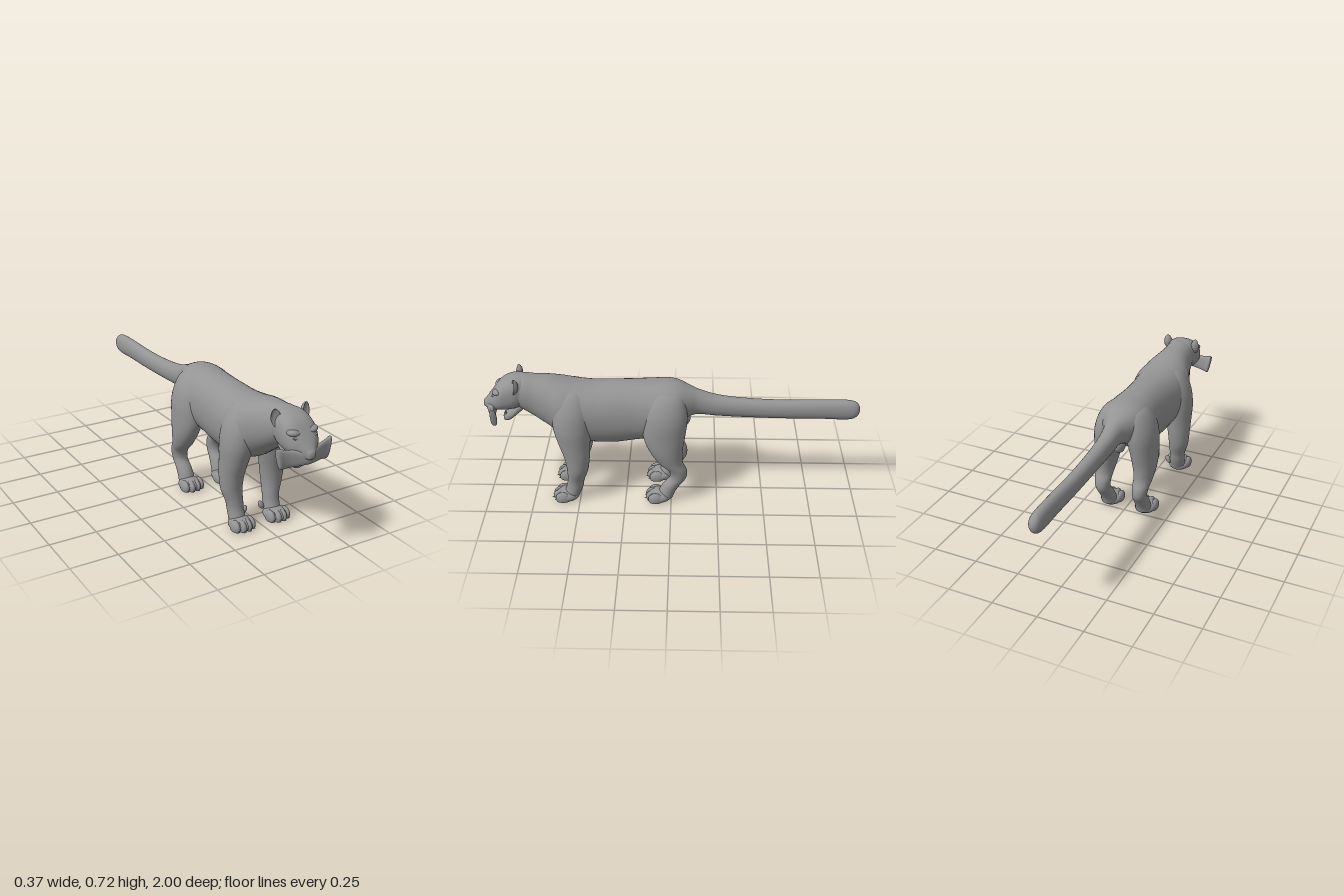
import * as THREE from 'three';

const coat = new THREE.MeshStandardMaterial({ color: 0x949494 });
coat.name = 'plain grey';

function add(parent, name, geometry) {
  const mesh = new THREE.Mesh(geometry, coat);
  mesh.name = name;
  parent.add(mesh);
  return mesh;
}

// Smooth skin over cross-sections along an axis (0 x, 1 y, 2 z), in rising order.
// Row: [position, centreU, centreV, halfU, halfV], U and V being the next axes in turn.
function loft(rows, axis, power = 2, around = 36, steps = 5) {
  const u = (axis + 1) % 3, v = (axis + 2) % 3, pos = [], index = [];
  const at = (i) => rows[Math.max(0, Math.min(rows.length - 1, i))];
  const cubic = (a, b, c, d, t) =>
    b + 0.5 * t * (c - a + t * (2 * a - 5 * b + 4 * c - d + t * (3 * (b - c) + d - a)));
  const round = (n) => Math.sign(n) * Math.abs(n) ** (2 / power);
  const count = (rows.length - 1) * steps;
  for (let i = 0; i <= count; i++) {
    const k = Math.floor(i / steps), t = i / steps - k;
    const r = at(k).map((_, c) => cubic(at(k - 1)[c], at(k)[c], at(k + 1)[c], at(k + 2)[c], t));
    for (let j = 0; j < around; j++) {
      const a = (j / around) * Math.PI * 2, p = [0, 0, 0];
      p[axis] = r[0];
      p[u] = r[1] + Math.max(r[3], 0.0005) * round(Math.cos(a));
      p[v] = r[2] + Math.max(r[4], 0.0005) * round(Math.sin(a));
      pos.push(...p);
      if (i < count) {
        const n = (j + 1) % around, b = i * around, d = b + around;
        index.push(b + j, b + n, d + n, b + j, d + n, d + j);
      }
    }
  }
  const g = new THREE.BufferGeometry();
  g.setAttribute('position', new THREE.Float32BufferAttribute(pos, 3));
  g.setIndex(index);
  g.computeVertexNormals();
  return g;
}

// Moves every vertex by a rule
function reshape(g, rule) {
  const p = g.attributes.position, q = new THREE.Vector3();
  for (let i = 0; i < p.count; i++) {
    q.fromBufferAttribute(p, i);
    rule(q);
    p.setXYZ(i, q.x, q.y, q.z);
  }
  g.computeVertexNormals();
  return g;
}

function ellipsoid(x, y, z, rx, ry, rz) {
  return new THREE.SphereGeometry(1, 24, 16).scale(rx, ry, rz).translate(x, y, z);
}

function buildPaw(parent, x, z) {
  const flat = (q) => { q.y = Math.max(q.y, 0.002); };
  add(parent, 'pawPad', reshape(ellipsoid(x, 0.026, z, 0.062, 0.037, 0.068), flat));
  [-0.045, -0.016, 0.016, 0.045].forEach((dx, i) => {
    const reach = i === 0 || i === 3 ? 0.02 : 0.034;
    add(parent, 'toe', reshape(ellipsoid(x + dx, 0.024, z + reach, 0.02, 0.036, 0.04), flat));
    const claw = new THREE.ConeGeometry(0.008, 0.03, 10).rotateX(Math.PI / 2 + 0.35);
    add(parent, 'claw', claw.translate(x + dx, 0.016, z + reach + 0.034));
  });
}

// Leg rows: [height, z, x, half depth, half width]
const frontLeg = [
  [0.02, 0.55, 0.105, 0.045, 0.045], [0.08, 0.527, 0.107, 0.045, 0.043],
  [0.13, 0.518, 0.11, 0.046, 0.045], [0.2, 0.505, 0.12, 0.057, 0.056],
  [0.28, 0.505, 0.119, 0.069, 0.063], [0.36, 0.515, 0.113, 0.084, 0.071],
  [0.45, 0.523, 0.103, 0.1, 0.082], [0.54, 0.525, 0.087, 0.103, 0.083],
  [0.61, 0.525, 0.07, 0.088, 0.068], [0.65, 0.525, 0.055, 0.055, 0.045], [0.67, 0.525, 0.045, 0, 0],
];
const hindLeg = [
  [0.02, 0.035, 0.105, 0.045, 0.045], [0.06, 0.02, 0.105, 0.045, 0.043],
  [0.1, -0.002, 0.107, 0.047, 0.041], [0.15, -0.037, 0.11, 0.045, 0.04],
  [0.2, -0.033, 0.112, 0.05, 0.045], [0.25, 0.003, 0.115, 0.065, 0.052],
  [0.32, 0.027, 0.113, 0.088, 0.064], [0.4, 0.037, 0.105, 0.11, 0.073],
  [0.5, 0.035, 0.093, 0.12, 0.082], [0.58, 0.035, 0.078, 0.112, 0.075],
  [0.64, 0.03, 0.06, 0.08, 0.052], [0.67, 0.03, 0.05, 0, 0],
];

export function createModel() {
  const model = new THREE.Group();
  model.name = 'bigCat';

  // Tail, trunk and neck in one skin: [z, x, y, half width, half height]
  add(model, 'bodyAndTail', loft([
    [-1, 0, 0.52, 0, 0], [-0.993, 0, 0.52, 0.018, 0.026], [-0.97, 0, 0.52, 0.031, 0.048],
    [-0.92, 0, 0.52, 0.035, 0.057], [-0.8, 0, 0.522, 0.036, 0.055], [-0.6, 0, 0.52, 0.038, 0.052],
    [-0.4, 0, 0.527, 0.041, 0.053], [-0.25, 0, 0.54, 0.046, 0.058], [-0.15, 0, 0.56, 0.054, 0.068],
    [-0.1, 0, 0.567, 0.075, 0.082], [-0.04, 0, 0.565, 0.112, 0.11], [0.02, 0, 0.545, 0.138, 0.139],
    [0.1, 0, 0.522, 0.142, 0.16], [0.2, 0, 0.51, 0.135, 0.169], [0.3, 0, 0.501, 0.138, 0.175],
    [0.4, 0, 0.5, 0.145, 0.172], [0.5, 0, 0.512, 0.152, 0.167], [0.58, 0, 0.535, 0.146, 0.158],
    [0.65, 0, 0.565, 0.118, 0.14], [0.72, 0, 0.592, 0.095, 0.118], [0.78, 0, 0.615, 0.086, 0.1],
    [0.84, 0, 0.63, 0.068, 0.07], [0.87, 0, 0.63, 0, 0],
  ], 2, 2.15, 44));
  add(model, 'rumpBulge', ellipsoid(0, 0.465, -0.06, 0.035, 0.055, 0.042));

  // Legs, paws and dewclaws
  for (const s of [1, -1]) {
    const side = s > 0 ? 'left' : 'right';
    for (const [name, rows, pawZ] of [['FrontLeg', frontLeg, 0.572], ['HindLeg', hindLeg, 0.065]]) {
      const leg = new THREE.Group();
      leg.name = side + name;
      add(leg, 'limb', loft(rows.map(([y, z, x, hz, hx]) => [y, z, s * x, hz, hx]), 1));
      buildPaw(leg, s * 0.105, pawZ);
      if (name === 'FrontLeg') {
        const dewclaw = add(leg, 'dewclaw', ellipsoid(0, 0, 0, 0.014, 0.025, 0.015));
        dewclaw.position.set(s * 0.052, 0.062, 0.52);
        dewclaw.rotation.z = s * 0.45;
      }
      model.add(leg);
    }
  }

  // Skull and muzzle
  const head = new THREE.Group();
  head.name = 'head';
  model.add(head);
  add(head, 'skull', loft([
    [0.735, 0, 0.63, 0, 0], [0.765, 0, 0.63, 0.065, 0.072], [0.81, 0, 0.624, 0.088, 0.09],
    [0.86, 0, 0.612, 0.091, 0.091], [0.9, 0, 0.598, 0.088, 0.079], [0.935, 0, 0.577, 0.074, 0.058],
    [0.96, 0, 0.56, 0.05, 0.043], [0.982, 0, 0.547, 0.028, 0.028], [0.996, 0, 0.543, 0.016, 0.016],
    [1, 0, 0.543, 0, 0],
  ], 2, 2.5));
  add(head, 'nose', ellipsoid(0, 0.549, 0.982, 0.023, 0.013, 0.016));
  add(head, 'lowerJaw', loft([
    [0.77, 0, 0.56, 0.05, 0.03], [0.82, 0, 0.52, 0.055, 0.034], [0.855, 0, 0.485, 0.045, 0.032],
    [0.88, 0, 0.467, 0.038, 0.026], [0.895, 0, 0.463, 0.028, 0.02], [0.902, 0, 0.463, 0, 0],
  ], 2, 2.3));

  // Broad flared cheek pieces across the muzzle: [x, y, z, half height, half depth]
  const flare = [
    [0, 0.527, 0.957, 0.038, 0.028], [0.03, 0.526, 0.953, 0.039, 0.024],
    [0.06, 0.525, 0.946, 0.041, 0.018], [0.09, 0.526, 0.938, 0.044, 0.014],
    [0.115, 0.528, 0.932, 0.049, 0.014], [0.135, 0.529, 0.927, 0.053, 0.018],
    [0.144, 0.529, 0.926, 0.046, 0.014], [0.147, 0.529, 0.926, 0, 0],
  ];
  const mirrored = flare.slice(1).reverse().map(([x, ...rest]) => [-x, ...rest]);
  add(head, 'muzzleFlare', reshape(loft([...mirrored, ...flare], 0, 2.6), (q) => {
    q.x += Math.sign(q.x) * (q.y - 0.53) * 0.2 * Math.min(1, Math.abs(q.x) / 0.1);
  }));

  for (const s of [1, -1]) {
    // Cupped ear: the front half of a flattened ball is pushed inward
    const cup = reshape(ellipsoid(0, 0, 0, 0.026, 0.044, 0.028), (q) => {
      if (q.z > 0) q.z *= -0.45;
      q.x *= q.y > 0 ? 1 - q.y * 5 : 1;
    });
    const ear = add(head, s > 0 ? 'leftEar' : 'rightEar', cup);
    ear.position.set(s * 0.085, 0.683, 0.82);
    ear.rotation.set(-0.1, s * 0.3, s * -0.08);

    const brow = add(head, 'brow', ellipsoid(0, 0, 0, 0.036, 0.018, 0.03));
    brow.position.set(s * 0.048, 0.634, 0.907);
    brow.rotation.z = s * 0.15;
    const eye = add(head, 'closedEye', ellipsoid(0, 0, 0, 0.017, 0.006, 0.01));
    eye.position.set(s * 0.05, 0.614, 0.933);
    eye.rotation.z = s * 0.15;
    add(head, 'lowerTooth', new THREE.ConeGeometry(0.007, 0.03, 10).translate(s * 0.022, 0.493, 0.883));
  }
  return model;
}
